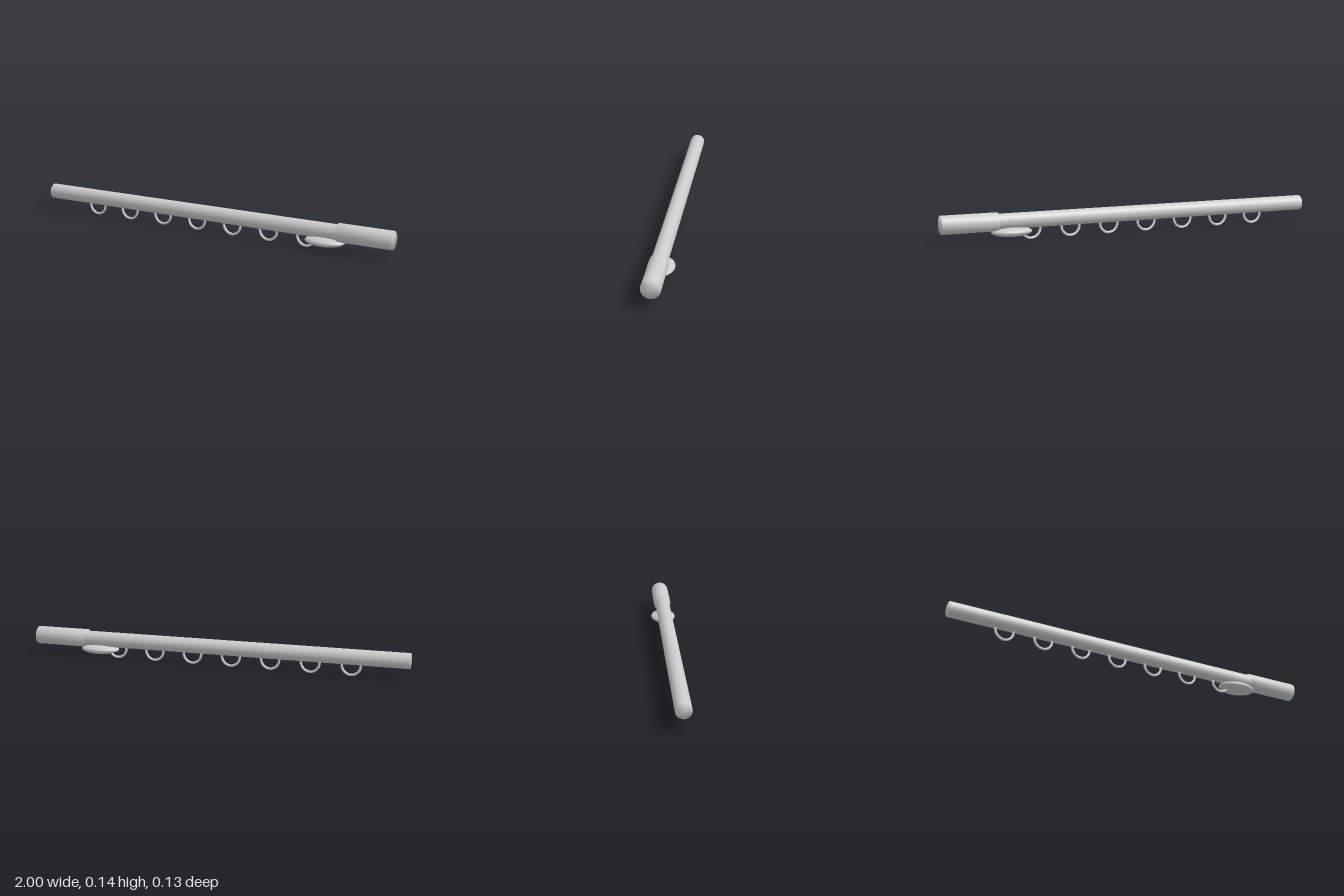
import * as THREE from 'three';
import { mergeVertices } from 'three/addons/utils/BufferGeometryUtils.js';

export function createModel() {
  const group = new THREE.Group();
  const material = new THREE.MeshStandardMaterial({ color: 0xcccccc });
  const axisY = 0.098;

  const add = (name, geometry, x, y) => {
    const mesh = new THREE.Mesh(geometry, material);
    mesh.name = name;
    mesh.position.set(x, y, 0);
    group.add(mesh);
    return mesh;
  };

  // Cylinder along x, with shading that flows softly over the end caps
  const softBar = (name, radius, x0, x1) => {
    const bar = new THREE.CylinderGeometry(radius, radius, x1 - x0, 24);
    bar.rotateZ(-Math.PI / 2);
    bar.deleteAttribute('normal');
    bar.deleteAttribute('uv');
    const geometry = mergeVertices(bar);
    geometry.computeVertexNormals();
    return add(name, geometry, (x0 + x1) / 2, axisY);
  };

  // Long pole and thicker handle
  softBar('pole', 0.039, -1, 0.73);
  softBar('grip', 0.0465, 0.717, 1);

  // Flattened reel under the pole, just ahead of the grip
  const reel = add('reel', new THREE.SphereGeometry(1, 32, 20), 0.644, 0.045);
  reel.scale.set(0.103, 0.025, 0.066);

  // Evenly spaced line guides hanging below the pole
  for (let i = 0; i < 7; i++) {
    add('lineGuide' + (i + 1), new THREE.TorusGeometry(0.048, 0.0065, 12, 32), -0.708 + i * 0.2085, 0.0555);
  }

  return group;
}
